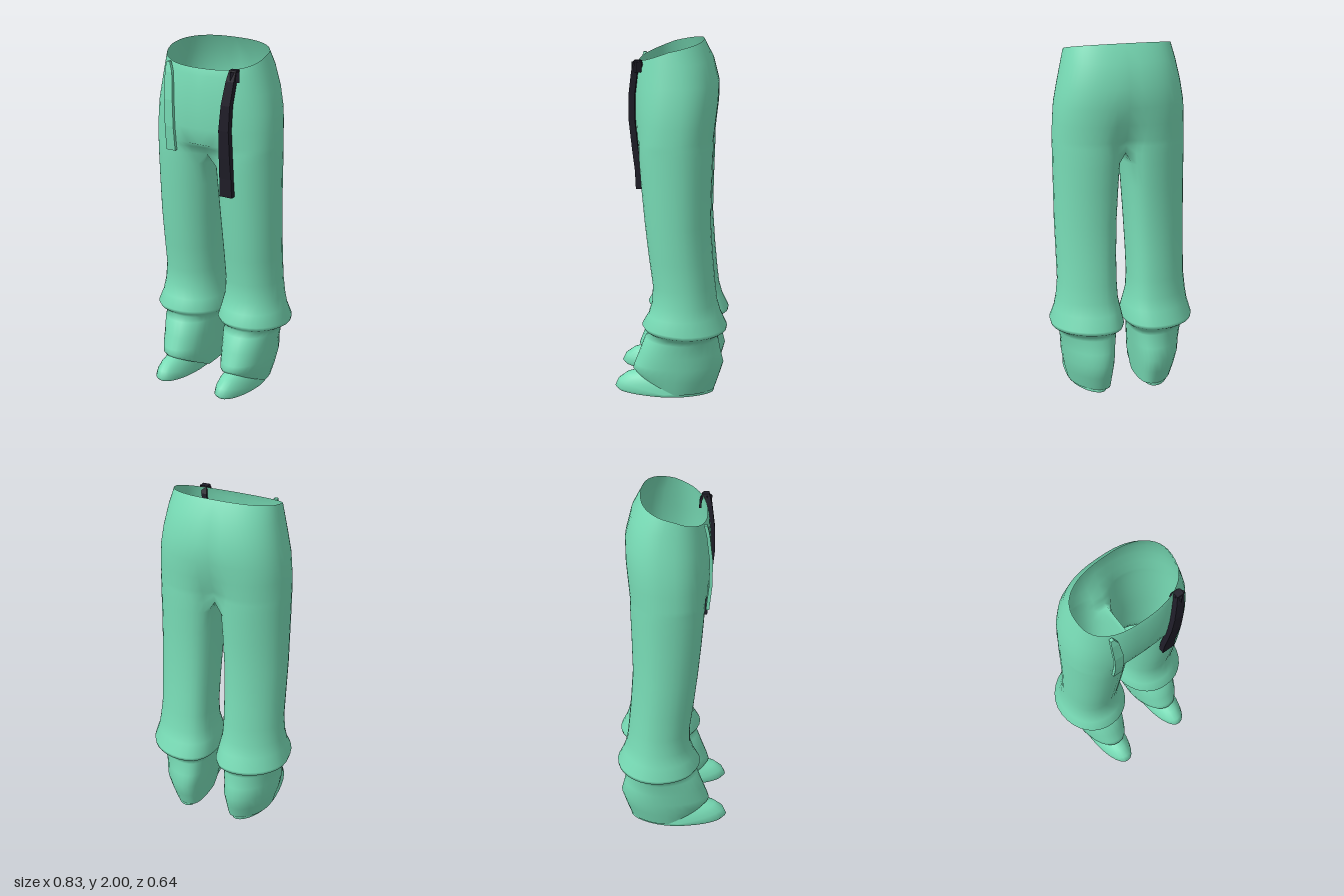
import * as THREE from 'three';
import { mergeGeometries, mergeVertices } from 'three/addons/utils/BufferGeometryUtils.js';

function flatColor(name, color) {
  const material = new THREE.MeshStandardMaterial({ color, side: THREE.DoubleSide });
  material.name = name;
  return material;
}
const green = flatColor('mint green', 0x78dcb6);
const darkGreen = flatColor('dark green', 0x356554);
const black = flatColor('black', 0x1f1d28);

const K = 24; // steps round the outer arc of a leg
const M = 10; // steps round the inner arc
const pow = (v, e) => Math.sign(v) * Math.abs(v) ** e;
const mix = THREE.MathUtils.lerp;

// Skin a stack of equal-length rings, listed from top to bottom
function skin(rings, closed) {
  const n = rings[0].length, index = [];
  for (let i = 0; i < rings.length - 1; i++) {
    for (let k = 0; k < (closed ? n : n - 1); k++) {
      const a = i * n + k, b = i * n + (k + 1) % n;
      index.push(a, a + n, b, b, a + n, b + n);
    }
  }
  const g = new THREE.BufferGeometry();
  g.setAttribute('position', new THREE.Float32BufferAttribute(rings.flat(2), 3));
  g.setIndex(index);
  return g;
}

// Mirror to the other side, keeping faces outward
function mirrored(geometry) {
  const g = geometry.clone().scale(-1, 1, 1), ix = g.index.array;
  for (let i = 0; i < ix.length; i += 3) [ix[i], ix[i + 1]] = [ix[i + 1], ix[i]];
  return g;
}

// Rounded section of one leg: the back leans inward, the lift raises the front
function legPoint(angle, y, xi, xo, zf, zb, lift = 0) {
  const c = pow(Math.cos(angle), 0.94), s = pow(Math.sin(angle), 0.94);
  return [
    (xi + xo) / 2 + (xo - xi) / 2 * c - 0.04 * Math.min(s, 0) ** 2,
    y + lift * Math.max(s, 0),
    (zf + zb) / 2 + (zf - zb) / 2 * s,
  ];
}

// Closed ring: outer arc from front to back, then the inner arc
function legRing(row) {
  const ring = [];
  for (let k = 0; k <= K; k++) ring.push(legPoint(Math.PI * (0.75 - 1.5 * k / K), ...row));
  for (let k = 1; k < M; k++) ring.push(legPoint(Math.PI * (-0.75 - 0.5 * k / M), ...row));
  return ring;
}

// Half hip section that turns gradually into a leg section towards the crotch
function hipArc([y, xo, zf, zb, frontBlend, backBlend, frontLift, backLift]) {
  const arc = [];
  for (let k = 0; k <= K; k++) {
    const u = k / K, s = Math.sin(Math.PI * u), c = pow(Math.cos(Math.PI * u), 0.85);
    const leg = legPoint(Math.PI * (0.75 - 1.5 * u), y, 0.002, xo, zf, zb);
    const w = mix(frontBlend, backBlend, u);
    const end = k === 0 || k === K;
    arc.push([
      end ? 0 : mix(xo * Math.abs(s) ** 0.8, leg[0], w),
      y + Math.abs(c) * (c > 0 ? frontLift : backLift),
      mix((zf + zb) / 2 + (zf - zb) / 2 * c, leg[2], w),
    ]);
  }
  return arc;
}

// Waist to crotch: y, half width, front z, back z, front blend, back blend, front lift, back lift
const hipRows = [
  [1.96, 0.3, 0.185, -0.172, 0, 0, -0.066, 0.04],
  [1.885, 0.318, 0.196, -0.225, 0, 0, -0.03, 0.015],
  [1.77, 0.343, 0.206, -0.258, 0, 0, -0.01, 0],
  [1.66, 0.363, 0.21, -0.26, 0, 0.12, 0, 0],
  [1.56, 0.37, 0.207, -0.252, 0, 0.4, 0, 0],
  [1.47, 0.374, 0.2, -0.24, 0.05, 0.75, 0, 0],
  [1.44, 0.375, 0.185, -0.235, 0.65, 0.9, 0, 0],
  [1.395, 0.375, 0.176, -0.232, 1, 1, 0, 0],
];

// Crotch to hem: y, inner x, outer x, front z, back z, front lift
const legRows = [
  [1.33, 0.008, 0.375, 0.172, -0.23],
  [1.2, 0.018, 0.374, 0.162, -0.226],
  [1.0, 0.03, 0.374, 0.143, -0.222],
  [0.8, 0.038, 0.371, 0.12, -0.236],
  [0.65, 0.04, 0.37, 0.1, -0.25],
  [0.55, 0.034, 0.38, 0.103, -0.262],
  [0.48, 0.018, 0.392, 0.125, -0.282],
  [0.405, 0.002, 0.415, 0.16, -0.318, 0.015],
  [0.385, 0.01, 0.41, 0.145, -0.315, 0.01],
  [0.355, 0.042, 0.365, 0.11, -0.272, 0.01],
  [0.33, 0.046, 0.358, 0.145, -0.268, 0.01],
  [0.25, 0.055, 0.346, 0.178, -0.282],
  [0.18, 0.062, 0.34, 0.205, -0.3],
  [0.1, 0.07, 0.327, 0.215, -0.276, 0.05],
  [0.02, 0.082, 0.305, 0.2, -0.25, 0.11],
];

// Shoe, from the opening under the hem to the sole
const shoeRows = [
  [0.024, 0.105, 0.297, 0.18, -0.24, 0.114],
  [0.02, 0.106, 0.3, 0.25, -0.242, 0.097],
  [0.017, 0.105, 0.302, 0.3, -0.245, 0.062],
  [0.014, 0.105, 0.303, 0.319, -0.248, 0.022],
  [0.002, 0.11, 0.298, 0.3, -0.245, 0.014],
];

function trousersGeometry() {
  const arcs = hipRows.map(hipArc);
  const last = arcs[arcs.length - 1];
  // The crotch seam closes the last arc along x = 0
  const seam = [];
  for (let k = 1; k < M; k++) seam.push([0, last[0][1], mix(last[K][2], last[0][2], k / M)]);
  const hips = skin(arcs, false);
  const leg = skin([[...last, ...seam], ...legRows.map(legRing)], true);
  const g = mergeVertices(mergeGeometries([hips, leg, mirrored(hips), mirrored(leg)]), 1e-4);
  g.computeVertexNormals();
  return g;
}

// Flat strap with closed ends; each point is x, y, z, width
function strapGeometry(points, thickness) {
  const rings = points.map(([x, y, z, w]) =>
    [[-1, 1], [1, 1], [1, -1], [-1, -1]].map(([sx, sz]) => [x + sx * w / 2, y, z + sz * thickness / 2]));
  const cap = ([x, y, z]) => Array.from({ length: 4 }, () => [x, y, z]);
  const g = skin([cap(points[0]), ...rings, cap(points[points.length - 1])], true).toNonIndexed();
  g.computeVertexNormals();
  return g;
}

export function createModel() {
  const model = new THREE.Group();
  model.name = 'trousersWithShoes';
  const add = (name, geometry, material) => {
    const mesh = new THREE.Mesh(geometry, material);
    mesh.name = name;
    model.add(mesh);
    return mesh;
  };

  add('trousers', trousersGeometry(), green);

  // Shoes, open inside the legs, with flat dark soles
  const rings = shoeRows.map(legRing);
  const rim = rings[rings.length - 1];
  const upper = skin(rings, true);
  const sole = skin([rim, rim.map(() => [0.2, 0.001, 0])], true);
  for (const [side, place] of [['left', (g) => g.clone()], ['right', mirrored]]) {
    for (const [part, source, material] of [['Shoe', upper, green], ['Sole', sole, darkGreen]]) {
      const g = place(source);
      g.computeVertexNormals();
      add(side + part, g, material);
    }
  }

  // Hanging straps
  add('leftStrap', strapGeometry([
    [0.212, 1.91, 0.178, 0.042], [0.203, 1.85, 0.194, 0.05], [0.186, 1.72, 0.211, 0.056],
    [0.175, 1.58, 0.212, 0.063], [0.17, 1.42, 0.195, 0.068], [0.167, 1.3, 0.18, 0.074],
    [0.167, 1.195, 0.175, 0.078],
  ], 0.034), black);
  const clip = add('leftStrapClip', new THREE.BoxGeometry(0.05, 0.055, 0.035), black);
  clip.position.set(0.216, 1.873, 0.182);
  clip.rotation.y = 0.6;
  add('leftStrapLoop', strapGeometry([
    [0.21, 1.908, 0.162, 0.03], [0.205, 1.87, 0.148, 0.03], [0.2, 1.83, 0.145, 0.03],
  ], 0.012), black);
  add('rightStrap', strapGeometry([
    [-0.208, 1.905, 0.175, 0.02], [-0.198, 1.85, 0.188, 0.045], [-0.19, 1.7, 0.206, 0.055],
    [-0.187, 1.55, 0.205, 0.055], [-0.187, 1.41, 0.19, 0.058],
  ], 0.018), green);

  return model;
}
